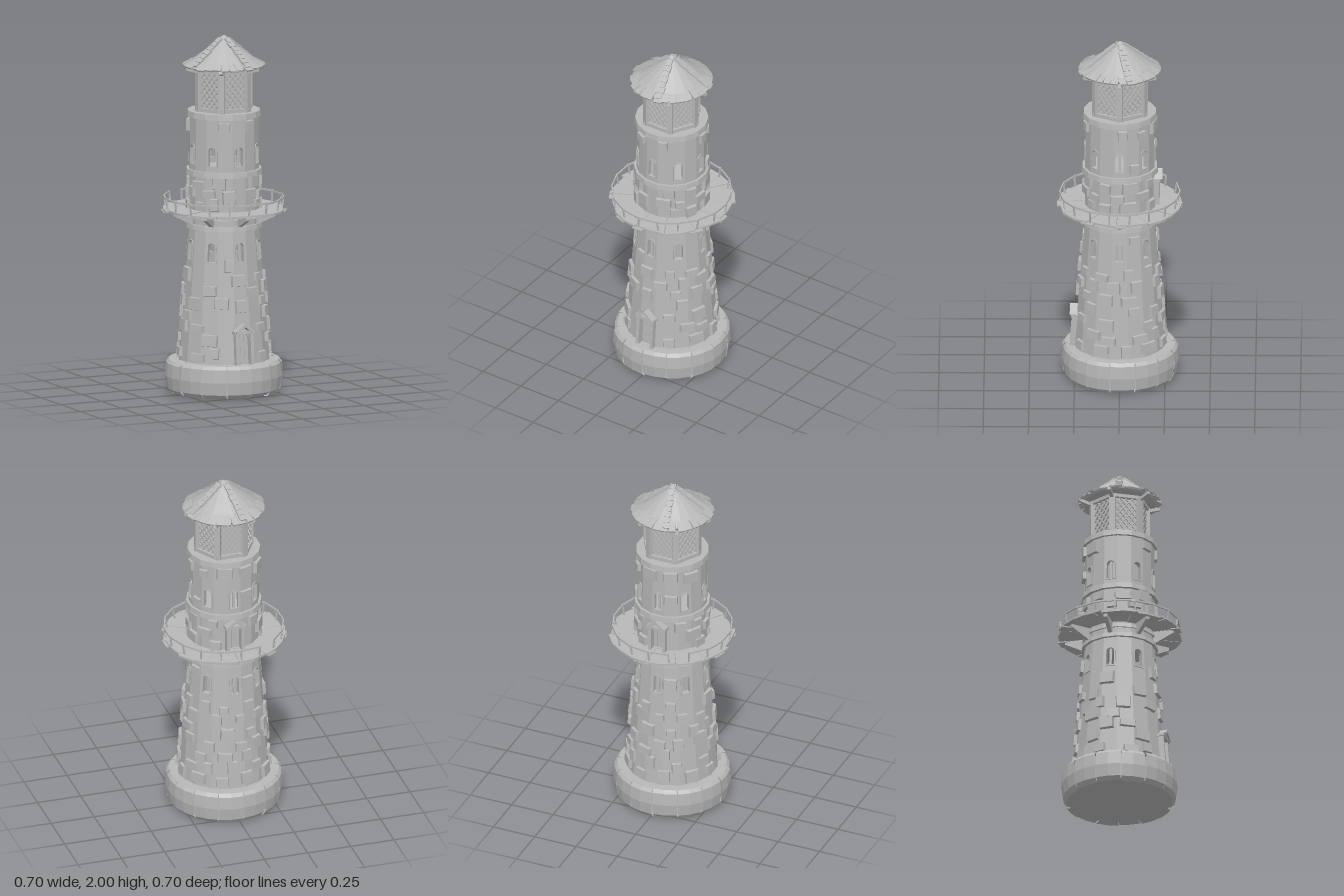
import * as THREE from 'three';

const stoneGrey = new THREE.MeshStandardMaterial({ color: 0xb8b8b8, flatShading: true, side: THREE.DoubleSide });
stoneGrey.name = 'stone grey';
const SIDES = 16, TAU = Math.PI * 2;

export function createModel() {
  const root = new THREE.Group();
  root.name = 'lighthouse';
  let seed = 7;
  const rnd = (a = 0, b = 1) => {
    seed = (seed * 16807) % 2147483647;
    return a + (b - a) * seed / 2147483647;
  };
  const group = (name, parent = root) => {
    const g = new THREE.Group();
    g.name = name;
    parent.add(g);
    return g;
  };
  const add = (parent, name, geo) => {
    const m = new THREE.Mesh(geo, stoneGrey);
    m.name = name;
    parent.add(m);
    return m;
  };
  // Place a part around the tower, facing outward; lean tips its face upward
  const around = (m, a, r, y, lean = 0, roll = 0) => {
    m.position.set(Math.sin(a) * r, y, Math.cos(a) * r);
    m.rotation.set(-lean, a, roll, 'YXZ');
    return m;
  };
  const box = (parent, name, w, h, d, a, r, y, lean, roll) =>
    around(add(parent, name, new THREE.BoxGeometry(w, h, d)), a, r, y, lean, roll);
  const arch = (Type, hw, y0, y1) => {
    const p = new Type();
    p.moveTo(-hw, y0);
    p.lineTo(hw, y0);
    p.lineTo(hw, y1 - hw);
    p.absarc(0, y1 - hw, hw, 0, Math.PI, false);
    p.lineTo(-hw, y0);
    return p;
  };

  // Plinth of separate wedge blocks
  const plinth = group('plinth');
  add(plinth, 'plinthCore', new THREE.CylinderGeometry(0.29, 0.29, 0.15, 28)).position.y = 0.1;
  const blocks = 14;
  for (let i = 0; i < blocks; i++) {
    const k = rnd(0.985, 1.01), lift = rnd(0, 0.012), gap = 0.018;
    const profile = [[0, lift], [0.295, lift], [0.315, 0.03], [0.325, 0.1], [0.32, 0.172], [0.305, 0.19], [0.22, 0.19]]
      .map(([r, y]) => new THREE.Vector2(r * k, y));
    add(plinth, 'plinthBlock', new THREE.LatheGeometry(profile, 2, (i + 0.1) / blocks * TAU + gap, TAU / blocks - gap));
  }

  // Hollow faceted wall, one panel per side, with arched openings
  const wallDepth = 0.028;
  function wall(name, y0, y1, r0, r1, openings) {
    const g = group(name), rad = y => r0 + (r1 - r0) * (y - y0) / (y1 - y0);
    const half = Math.tan(Math.PI / SIDES);
    for (let i = 0; i < SIDES; i++) {
      const s = new THREE.Shape();
      s.moveTo(-r0 * half, y0);
      s.lineTo(r0 * half, y0);
      s.lineTo(r1 * half, y1);
      s.lineTo(-r1 * half, y1);
      openings(i).forEach(o => s.holes.push(arch(THREE.Path, ...o)));
      const geo = new THREE.ExtrudeGeometry(s, { depth: wallDepth, bevelEnabled: false, curveSegments: 4 });
      const p = geo.attributes.position;
      for (let v = 0; v < p.count; v++) p.setZ(v, p.getZ(v) + rad(p.getY(v)) - wallDepth);
      geo.computeVertexNormals();
      add(g, 'wallPanel', geo).rotation.y = i / SIDES * TAU;
    }
    return rad;
  }
  const low = [0.024, 0.755, 0.865], high = [0.024, 1.29, 1.4];
  const lowRad = wall('lowerWall', 0.18, 0.94, 0.25, 0.193, i =>
    [...(i % 2 ? [] : [low]), ...(i ? [] : [[0.036, 0.185, 0.365]])]);
  const midRad = wall('middleWall', 0.94, 1.24, 0.194, 0.191, i => i === 8 ? [[0.033, 1.04, 1.2]] : []);
  const topRad = wall('upperWall', 1.24, 1.56, 0.192, 0.188, i => i % 2 ? [] : [high]);

  // Window frames and mullions
  const windows = group('windows');
  for (const [[hw, y0, y1], rad, lean] of [[low, lowRad, 0.075], [high, topRad, 0.012]])
    for (let i = 0; i < 8; i++) {
      const s = arch(THREE.Shape, hw + 0.005, -0.005, y1 - y0 + 0.005);
      s.holes.push(arch(THREE.Path, hw - 0.002, 0.002, y1 - y0 - 0.002));
      const a = i / 8 * TAU;
      const geo = new THREE.ExtrudeGeometry(s, { depth: 0.012, bevelEnabled: false, curveSegments: 4 });
      around(add(windows, 'windowFrame', geo), a, rad(y0) - 0.007, y0, lean);
      if (i % 2 === 0) box(windows, 'windowBar', 0.014, y1 - y0, 0.008, a, rad(y0) - 0.015, (y0 + y1) / 2, lean);
    }

  // Raised stones scattered in rows
  const stoneGeo = new THREE.BoxGeometry(1, 1, 1);
  const sp = stoneGeo.attributes.position;
  for (let v = 0; v < sp.count; v++)
    if (sp.getZ(v) > 0) sp.setXY(v, sp.getX(v) * 0.86, sp.getY(v) * 0.84);
  function stones(name, rows, count, y0, y1, rad, lean, blocked) {
    const g = group(name);
    for (let j = 0; j < rows; j++)
      for (let i = 0; i < count; i++) {
        const a = (i + (j % 2) / 2 + rnd(-0.2, 0.2)) / count * TAU;
        const y = y0 + (j + rnd(0.3, 0.7)) / rows * (y1 - y0);
        const w = rnd(0.05, 0.1), h = rnd(0.045, 0.08), keep = rnd() < 0.8;
        if (!keep || blocked(a, y, w / 2 / rad(y), h / 2)) continue;
        const m = around(add(g, 'stone', stoneGeo), a, rad(y) + 0.002, y, lean, rnd(-0.06, 0.06));
        m.scale.set(w, h, 0.03);
      }
  }
  const nearAngle = (a, b, d) => Math.cos(a - b) > Math.cos(d);
  const nearWindow = (a, y, hw, hh, [, y0, y1]) => y + hh > y0 - 0.01 && y - hh < y1 + 0.01 &&
    nearAngle(a, Math.round(a / (TAU / 8)) * TAU / 8, hw + 0.15);
  stones('lowerStones', 10, 11, 0.2, 0.92, lowRad, 0.075, (a, y, w, h) =>
    nearWindow(a, y, w, h, low) || (y < 0.47 && nearAngle(a, 0, w + 0.27)));
  stones('middleStones', 3, 10, 1.035, 1.225, midRad, 0.01, (a, y, w) => nearAngle(a, Math.PI, w + 0.25));
  stones('upperStones', 4, 10, 1.265, 1.54, topRad, 0.012, (a, y, w, h) => nearWindow(a, y, w, h, high));

  // Stone courses between the storeys
  const bands = group('bands');
  for (const [y, h, r] of [[0.943, 0.026, 0.214], [1.0, 0.022, 0.207], [1.243, 0.03, 0.214], [1.567, 0.032, 0.207]]) {
    const b = add(bands, 'band', new THREE.CylinderGeometry(r - 0.004, r, h, SIDES));
    b.position.y = y;
    b.rotation.y = Math.PI / SIDES;
  }

  // Doors: main entrance at the front, deck door at the back
  function door(name, a, y, r, hw, h, lean) {
    const g = around(group(name), a, r, y, lean);
    for (const s of [-1, 1]) {
      add(g, 'doorPost', new THREE.BoxGeometry(0.018, h, 0.04)).position.set(s * (hw + 0.009), h / 2, 0.005);
      const c = add(g, 'doorCanopy', new THREE.BoxGeometry(hw + 0.038, 0.016, 0.055));
      c.position.set(s * (hw + 0.012) / 2, h + 0.022, 0.012);
      c.rotation.z = -s * 0.65;
    }
    add(g, 'doorLintel', new THREE.BoxGeometry(hw * 2 + 0.05, 0.016, 0.045)).position.set(0, h, 0.008);
    for (let i = -1; i <= 1; i++)
      add(g, 'doorPlank', new THREE.BoxGeometry(hw * 0.62, h, 0.01)).position.set(i * hw * 0.66, h / 2, -0.018);
  }
  door('frontDoor', 0, 0.19, 0.252, 0.036, 0.18, 0.075);
  door('deckDoor', Math.PI, 1.035, 0.195, 0.033, 0.15, 0);

  // Deck of uneven wedge boards, carried by triangular brackets
  const deck = group('deck');
  for (let i = 0; i < 12; i++) {
    const half = Math.PI / 12 - 0.004, ro = rnd(0.332, 0.35), e = rnd(-0.008, 0.012);
    const s = new THREE.Shape([[-half, 0.17], [half, 0.17], [half, ro + e], [0, ro - e / 2], [-half, ro - e]]
      .map(([t, r]) => new THREE.Vector2(Math.sin(t) * r, Math.cos(t) * r)));
    const geo = new THREE.ExtrudeGeometry(s, { depth: 0.012, bevelEnabled: false });
    geo.rotateX(Math.PI / 2);
    around(add(deck, 'deckBoard', geo), (i + 0.4) / 12 * TAU, 0, 1.032 + rnd(0, 0.005));
  }
  for (let i = 0; i < 9; i++)
    box(deck, 'boardEnd', rnd(0.05, 0.075), 0.008, 0.05, (i + rnd(0, 0.5)) / 9 * TAU, 0.322, 1.022);
  const bracket = new THREE.Shape([[0.17, 0.955], [0.21, 0.955], [0.31, 1.005], [0.31, 1.022], [0.17, 1.022]]
    .map(p => new THREE.Vector2(...p)));
  const bracketGeo = new THREE.ExtrudeGeometry(bracket, { depth: 0.022, bevelEnabled: false });
  bracketGeo.translate(0, 0, -0.011).rotateY(-Math.PI / 2);
  for (let i = 0; i < 8; i++) add(deck, 'bracket', bracketGeo).rotation.y = i / 8 * TAU;

  // Railing with a small break at the back
  const railing = group('railing');
  const rails = 18, step = TAU / rails, rr = 0.332;
  for (let i = 0; i < rails; i++) {
    const a = i * step;
    box(railing, 'railPost', 0.008, 0.075, 0.008, a, rr - 0.005, 1.063, -0.12, rnd(-0.1, 0.1));
    if (i !== 10) box(railing, 'rail', 2 * rr * Math.sin(step / 2) + 0.003, 0.01, 0.007,
      a + step / 2, rr * Math.cos(step / 2), 1.093 + rnd(-0.003, 0.003), 0, rnd(-0.03, 0.03));
  }

  // Six-sided lantern room with lattice panes
  const lantern = group('lantern');
  const hexPart = (name, r, h, y) => {
    const m = add(lantern, name, new THREE.CylinderGeometry(r, r, h, 6));
    m.position.y = y;
    m.rotation.y = Math.PI / 6;
  };
  hexPart('lanternSill', 0.172, 0.025, 1.592);
  hexPart('lanternGlass', 0.15, 0.23, 1.705);
  hexPart('lanternHead', 0.172, 0.02, 1.812);
  for (let i = 0; i < 6; i++) {
    const a = i / 6 * TAU, pa = a + Math.PI / 6;
    box(lantern, 'lanternPost', 0.034, 0.24, 0.03, pa, 0.153, 1.7);
    box(lantern, 'eaveBracket', 0.018, 0.018, 0.085, pa, 0.187, 1.812, 0.3);
    // Diagonal strips, clipped to the pane
    const hw = 0.064, hh = 0.103;
    for (const s of [-1, 1])
      for (let c = -0.14; c <= 0.141; c += 0.04) {
        const k = 1.2, x0 = Math.max(-hw, (-hh - c) / k), x1 = Math.min(hw, (hh - c) / k);
        if (x1 - x0 < 0.01) continue;
        const xm = (x0 + x1) / 2;
        const g = around(group('latticePane', lantern), a, 0.134, 1.703);
        const bar = add(g, 'latticeBar', new THREE.BoxGeometry((x1 - x0) * Math.hypot(1, k), 0.006, 0.008));
        bar.position.set(s * xm, k * xm + c, 0);
        bar.rotation.z = s * Math.atan(k);
      }
  }

  // Conical roof with ragged eaves, four ridges of slats and a cap
  const roof = group('roof');
  const cone = add(roof, 'roofCone', new THREE.CylinderGeometry(0.02, 0.205, 0.14, 18));
  cone.position.y = 1.911;
  add(roof, 'eaveSoffit', new THREE.CylinderGeometry(0.212, 0.2, 0.014, 18)).position.y = 1.833;
  const slope = Math.atan(0.14 / 0.185);
  for (let i = 0; i < 30; i++) {
    const len = rnd(0.05, 0.075);
    box(roof, 'eaveShingle', rnd(0.036, 0.052), 0.009, len, (i + rnd(-0.15, 0.15)) / 30 * TAU,
      0.236 - len / 2 - rnd(0, 0.012), 1.846 + rnd(-0.002, 0.004), -0.5, rnd(-0.08, 0.08));
  }
  for (let i = 0; i < 4; i++)
    for (let j = 0; j < 7; j++) {
      const r = 0.04 + j * 0.026;
      box(roof, 'ridgeSlat', rnd(0.03, 0.042), 0.011, 0.036, 0.24 + i / 4 * TAU, r,
        1.981 - (r - 0.02) * Math.tan(slope) + 0.006, -slope + 0.1, rnd(-0.07, 0.07));
    }
  add(roof, 'roofCap', new THREE.CylinderGeometry(0.022, 0.028, 0.014, 6)).position.y = 1.981;
  add(roof, 'roofTip', new THREE.ConeGeometry(0.022, 0.012, 6)).position.y = 1.994;
  return root;
}
